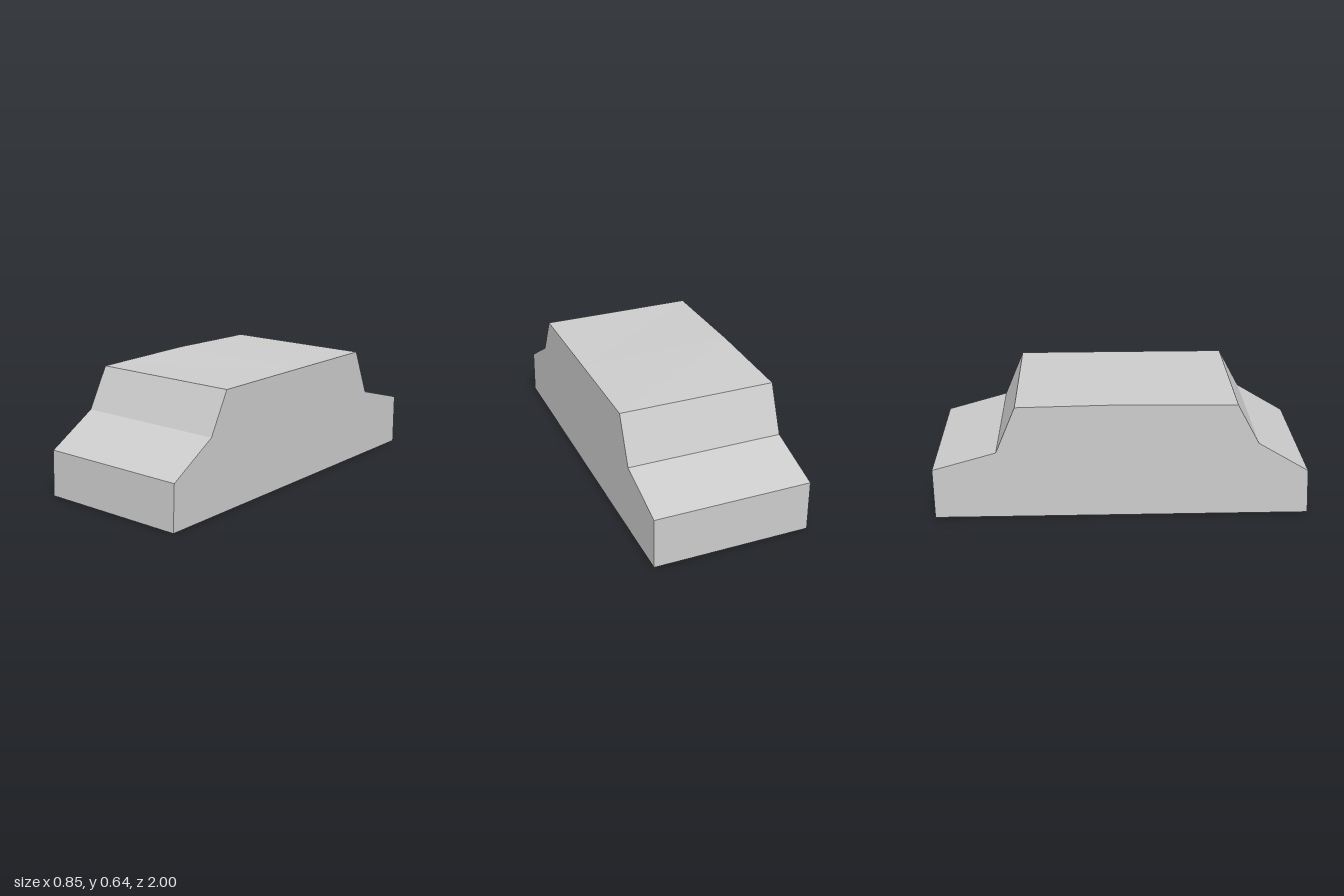
import * as THREE from 'three';

const WIDTH = 0.848;

// Side profile of the car body as [z, y], from the front bumper over the roof to the tail
const PROFILE = [
  [1, 0], [0.988, 0.247], [0.718, 0.41], [0.6, 0.628],
  [0, 0.629], [-0.555, 0.629], [-0.662, 0.375], [-1, 0.279], [-1, 0],
];

export function createModel() {
  const group = new THREE.Group();
  group.name = 'car';

  const bodyGrey = new THREE.MeshStandardMaterial({ color: 0xcccccc, flatShading: true });
  bodyGrey.name = 'body grey';

  // Body: the profile extruded across the width
  const shape = new THREE.Shape(PROFILE.map(([z, y]) => new THREE.Vector2(-z, y)));
  const geometry = new THREE.ExtrudeGeometry(shape, { depth: WIDTH, bevelEnabled: false });
  geometry.rotateY(Math.PI / 2);
  geometry.translate(-WIDTH / 2, 0, 0);

  // Roof: a slight rise at the middle of the -x edge
  const pos = geometry.attributes.position;
  for (let i = 0; i < pos.count; i++) {
    if (pos.getY(i) > 0.6 && Math.abs(pos.getZ(i)) < 0.1 && pos.getX(i) < 0) pos.setY(i, 0.638);
  }
  geometry.computeVertexNormals();

  const body = new THREE.Mesh(geometry, bodyGrey);
  body.name = 'carBody';
  group.add(body);
  return group;
}
